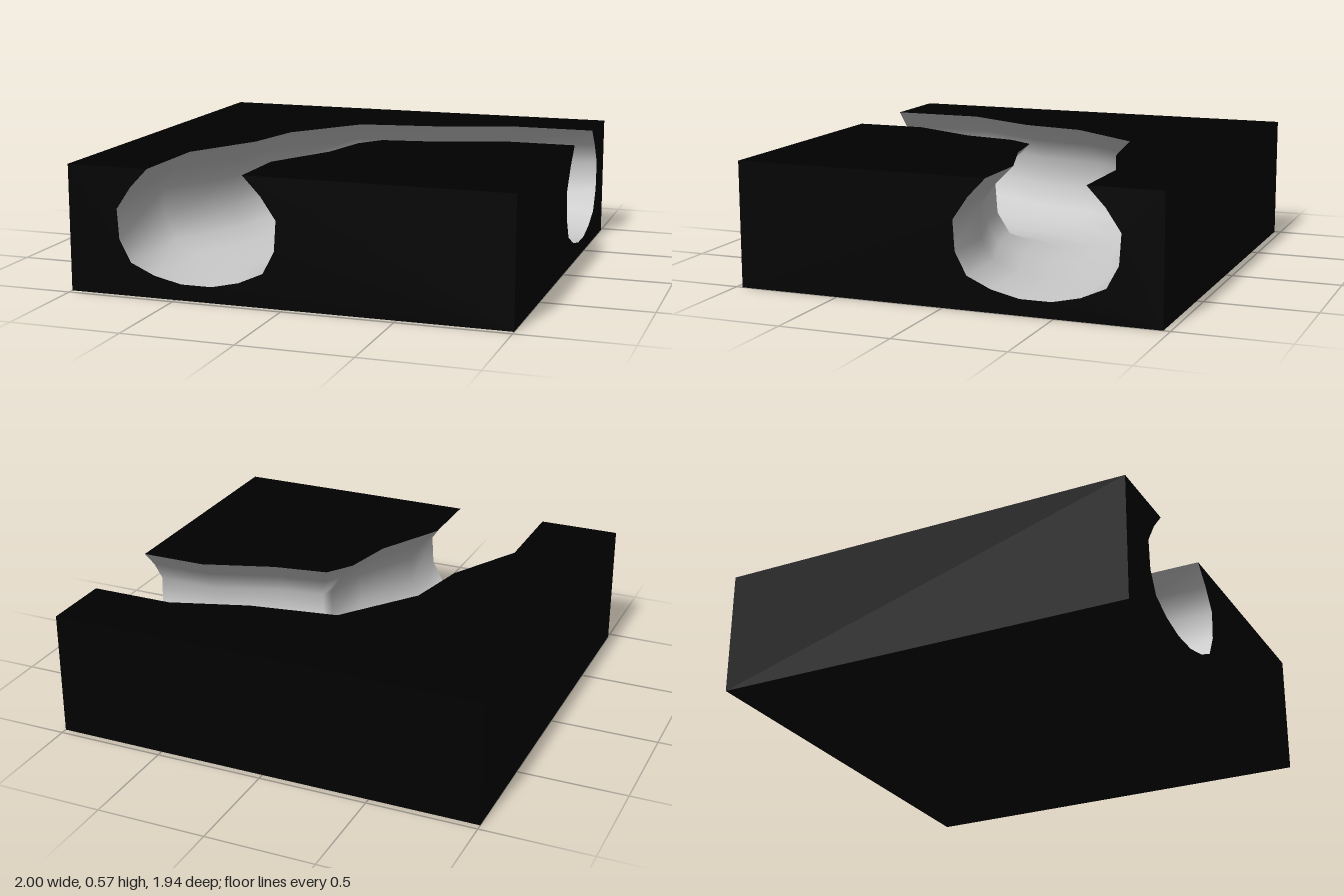
import * as THREE from 'three';

const W = 1, D = 0.97, H = 0.57; // half width, half depth, height

// Rims of the channel in plan (x, z), from the front opening to the left-side opening
const outerRim = [[-0.62, D], [-0.62, 0.53], [-0.44, 0.18], [-0.38, -0.12],
  [-0.13, -0.46], [0.27, -0.525], [0.62, -0.64], [W, -0.64]];
const innerRim = [[-0.18, D], [-0.18, 0.64], [-0.02, 0.32], [0.03, 0.07],
  [0.11, -0.05], [0.36, -0.09], [0.69, -0.2], [W, -0.2]];

// Half cross-section: sideways reach (1 = rim) and height, rim to floor
const half = [[1, H], [1.37, 0.485], [1.68, 0.385], [1.64, 0.25], [1.4, 0.15], [0.89, 0.1], [0.32, 0.072]];
const section = [...half.map(([t, y]) => [-t, y]), ...half.slice().reverse()];

function flat(points) {
  return new THREE.ShapeGeometry(new THREE.Shape(points.map(([x, y]) => new THREE.Vector2(x, y))));
}

// Wall with the channel opening cut into its top edge
function notchedWall(halfWidth, centre) {
  const notch = section.map(([t, y]) => [centre + t * 0.22, y]).reverse();
  return flat([[-halfWidth, 0], [halfWidth, 0], [halfWidth, H], ...notch, [-halfWidth, H]]);
}

// Smooth trough: the cross-section stretched between the two rims at each station
function channelGeometry() {
  const pos = [], index = [], n = section.length;
  outerRim.forEach(([ox, oz], i) => {
    const [ix, iz] = innerRim[i];
    for (const [t, y] of section) {
      const k = (t + 1) / 2;
      pos.push(ox + (ix - ox) * k, y, oz + (iz - oz) * k);
    }
    if (i === 0) return;
    for (let j = 0; j < n - 1; j++) {
      const a = (i - 1) * n + j, c = i * n + j;
      index.push(a, a + 1, c, a + 1, c + 1, c);
    }
  });
  const g = new THREE.BufferGeometry();
  g.setAttribute('position', new THREE.Float32BufferAttribute(pos, 3));
  g.setIndex(index);
  g.computeVertexNormals();
  return g;
}

export function createModel() {
  const group = new THREE.Group();
  const black = new THREE.MeshStandardMaterial({ color: 0x000000 });
  const grey = new THREE.MeshStandardMaterial({ color: 0xcccccc, side: THREE.DoubleSide });
  const add = (name, geometry, material = black) => {
    const mesh = new THREE.Mesh(geometry, material);
    mesh.name = name;
    group.add(mesh);
  };
  const plan = (points) => flat(points.map(([x, z]) => [x, -z])).rotateX(-Math.PI / 2).translate(0, H, 0);

  // Top surfaces on both sides of the channel
  add('outerTop', plan([...outerRim, [W, -D], [-W, -D], [-W, D]]));
  add('innerTop', plan([...innerRim, [W, D]]));

  // Walls with openings
  add('frontWall', notchedWall(W, -0.4).translate(0, 0, D));
  add('leftWall', notchedWall(D, 0.42).rotateY(Math.PI / 2).translate(W, 0, 0));

  // Plain walls and underside
  add('backWall', new THREE.PlaneGeometry(2 * W, H).rotateY(Math.PI).translate(0, H / 2, -D));
  add('rightWall', new THREE.PlaneGeometry(2 * D, H).rotateY(-Math.PI / 2).translate(-W, H / 2, 0));
  add('underside', new THREE.PlaneGeometry(2 * W, 2 * D).rotateX(Math.PI / 2));

  // Curved channel
  add('channel', channelGeometry(), grey);
  return group;
}
